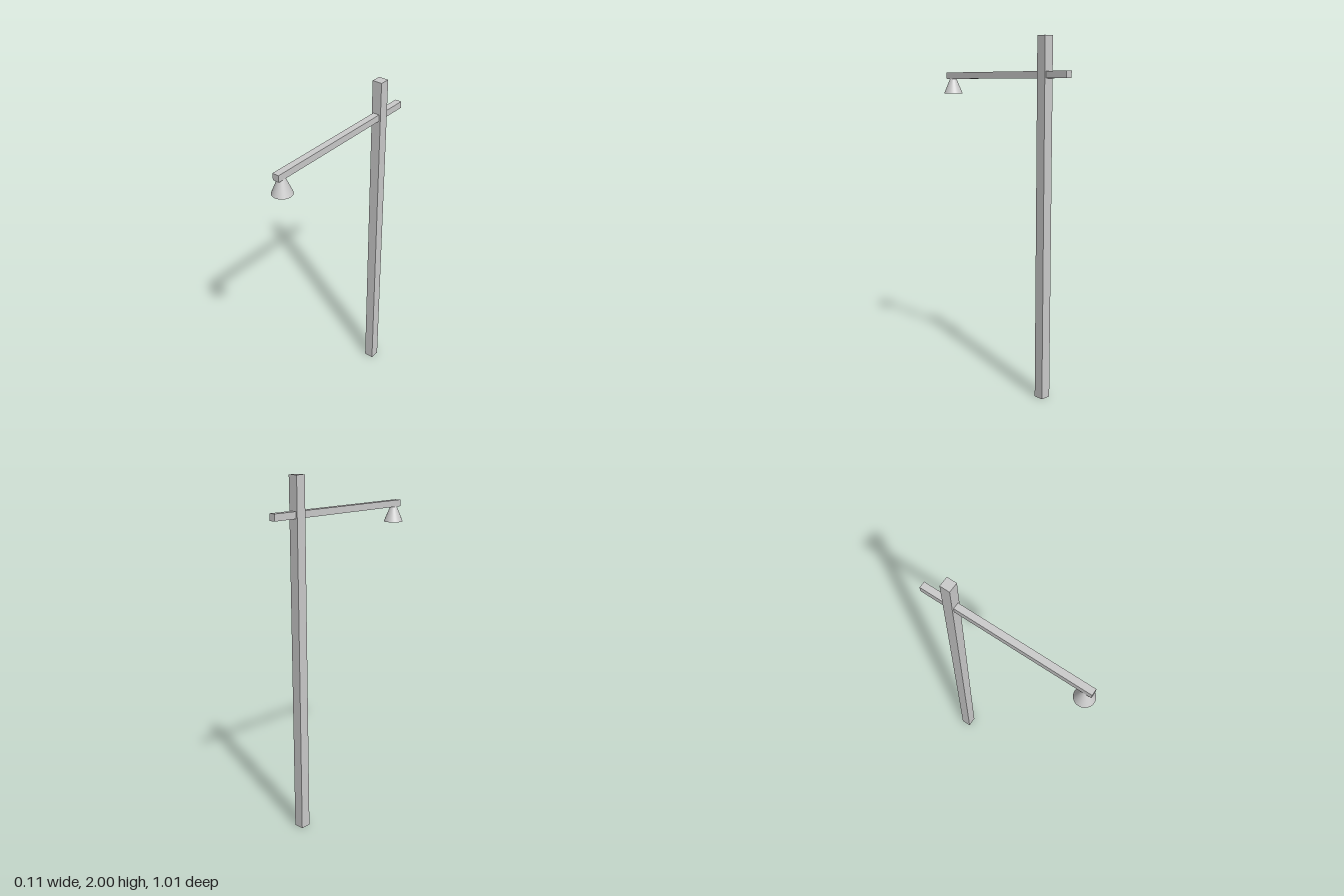
import * as THREE from 'three';

export function createModel() {
  const model = new THREE.Group();
  const material = new THREE.MeshStandardMaterial({ color: 0xcccccc });

  function add(name, geometry, x, y, z) {
    const mesh = new THREE.Mesh(geometry, material);
    mesh.name = name;
    mesh.position.set(x, y, z);
    model.add(mesh);
  }

  // Square upright post
  add('post', new THREE.BoxGeometry(0.058, 2, 0.058), 0, 1, -0.331);

  // Horizontal arm passing through the post
  add('arm', new THREE.BoxGeometry(0.038, 0.038, 0.998), 0, 1.797, -0.008);

  // Conical lamp shade hanging under the front end of the arm
  add('lampShade', new THREE.CylinderGeometry(0.0185, 0.056, 0.09, 32), 0, 1.736, 0.451);

  return model;
}
